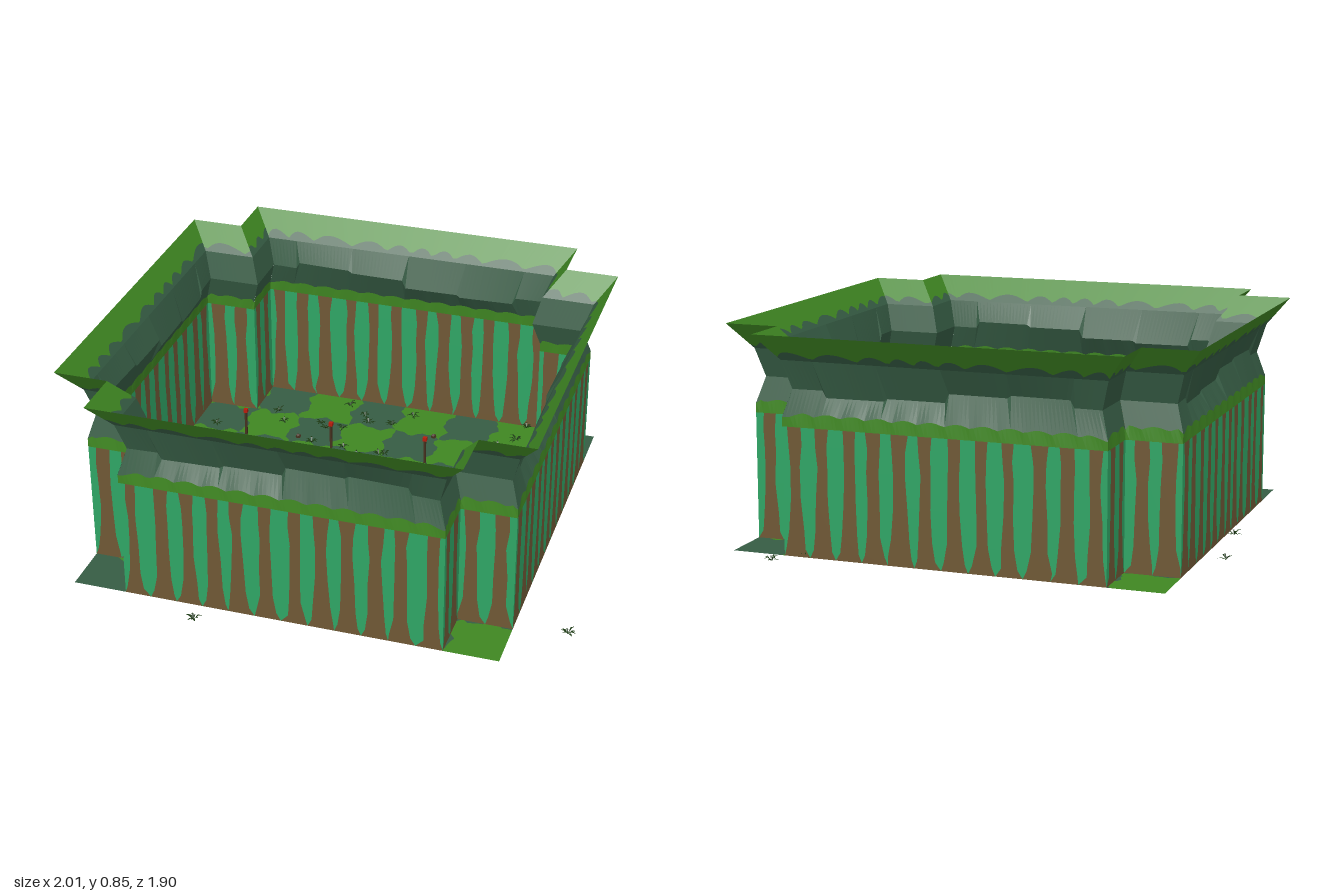
import * as THREE from 'three';
import { mergeGeometries } from 'three/addons/utils/BufferGeometryUtils.js';

const paint = (name, color) => Object.assign(
  new THREE.MeshStandardMaterial({ color, flatShading: true, side: THREE.DoubleSide }), { name });
const FLOOR = 0.02, CX = -0.06, CZ = -0.015;

function seeded(seed) {
  return () => ((seed = (seed * 16807) % 2147483647) / 2147483647);
}

// Collects triangles and quads for one mesh
class Sheet {
  constructor() { this.p = []; }
  tri(a, b, c) { this.p.push(...a, ...b, ...c); }
  quad(a, b, c, d) { this.tri(a, b, c); this.tri(a, c, d); }
  mesh(name, material) {
    const g = new THREE.BufferGeometry();
    g.setAttribute('position', new THREE.Float32BufferAttribute(this.p, 3));
    g.computeVertexNormals();
    const m = new THREE.Mesh(g, material);
    m.name = name;
    return m;
  }
}

// Square plan with notched corners
const PLAN = [
  [-0.68, -0.84], [0.56, -0.84], [0.56, -0.635], [0.77, -0.635], [0.77, 0.61], [0.56, 0.61],
  [0.56, 0.815], [-0.68, 0.815], [-0.68, 0.61], [-0.89, 0.61], [-0.89, -0.635], [-0.68, -0.635],
];
const PROFILE = [[0, 0], [0.54, 0], [0.64, -0.03], [0.75, 0], [0.85, 0.077]];

function lean(y) {
  for (let i = 1; i < PROFILE.length; i++) {
    const [y0, o0] = PROFILE[i - 1], [y1, o1] = PROFILE[i];
    if (y <= y1) return o0 + (o1 - o0) * (y - y0) / (y1 - y0);
  }
  return 0.077;
}

// Point on one wall panel; bow pushes it towards the middle of the arena
function wallPoint(a, b, t, y, offset = lean(y), bow = 0) {
  const out = ([x, z]) => [x + Math.sign(x - CX) * offset, z + Math.sign(z - CZ) * offset];
  const [ax, az] = out(a), [bx, bz] = out(b);
  const x = ax + (bx - ax) * t, z = az + (bz - az) * t;
  const alongX = Math.abs(bx - ax) > Math.abs(bz - az);
  return [x - (alongX ? 0 : Math.sign(x - CX) * bow), y, z - (alongX ? Math.sign(z - CZ) * bow : 0)];
}

function buildWalls(mat) {
  const walls = new THREE.Group();
  walls.name = 'walls';
  const bark = new Sheet(), gaps = new Sheet(), hedge = new Sheet(), ledge = new Sheet(), rim = new Sheet();
  const trunk = [[0.02, 0.5], [0.05, 0.36], [0.12, 0.27], [0.24, 0.22], [0.36, 0.2], [0.44, 0.22], [0.505, 0.25]];
  const rand = seeded(77);

  PLAN.forEach((a, e) => {
    const b = PLAN[(e + 1) % PLAN.length];
    const length = Math.hypot(b[0] - a[0], b[1] - a[1]);
    const long = length > 0.5;

    // Trunks with flared feet, alternating with green gaps
    const n = Math.round(length / 0.1);
    const edges = [];
    for (let i = 0; i < n; i++) {
      const shift = (rand() - 0.5) * 0.2, grow = 0.85 + rand() * 0.35;
      for (const side of [-1, 1]) {
        edges.push(trunk.map(([y, w]) => y === 0.02 ? (i + 0.5 + side * w) / n
          : (i + 0.5 + shift + side * w * grow + (rand() - 0.5) * 0.09) / n));
      }
    }
    const all = [trunk.map(() => 0), ...edges, trunk.map(() => 1)];
    for (let k = 0; k + 1 < all.length; k++) {
      for (let r = 0; r + 1 < trunk.length; r++) {
        const P = (c, row) => wallPoint(a, b, all[c][row], trunk[row][0]);
        (k % 2 ? bark : gaps).quad(P(k, r), P(k + 1, r), P(k + 1, r + 1), P(k, r + 1));
      }
    }

    // Ledge, folded hedge and overhanging rim with scalloped borders
    const cols = Math.round(length / 0.0155);
    const column = (i) => {
      const t = i / cols, s = t * length + e * 0.37;
      const fade = Math.sin(Math.PI * t);
      const low = 0.533 + (0.012 + 0.012 * Math.abs(Math.sin(s * 31))) * Math.min(1, fade * 4 + 0.3);
      const high = 0.757 + 0.026 * Math.abs(Math.sin(s * 26 + Math.sin(s * 9)));
      const fold = 0.64 + (long ? 0.028 * Math.sin(2 * Math.PI * Math.round(t * 5) / 5) : 0);
      const bow = long ? 0.018 * fade : 0;
      return {
        base: wallPoint(a, b, t, 0.505), low: wallPoint(a, b, t, low),
        fold: wallPoint(a, b, t, fold, -0.03, bow), neck: wallPoint(a, b, t, 0.75),
        high: wallPoint(a, b, t, high), top: wallPoint(a, b, t, 0.85),
      };
    };
    for (let i = 0; i < cols; i++) {
      const p = column(i), q = column(i + 1);
      const band = (sheet, from, to) => sheet.quad(p[from], q[from], q[to], p[to]);
      band(ledge, 'base', 'low');
      band(hedge, 'low', 'fold');
      band(hedge, 'fold', 'neck');
      band(hedge, 'neck', 'high');
      band(rim, 'high', 'top');
    }
  });
  walls.add(bark.mesh('trunks', mat.bark), gaps.mesh('trunkGaps', mat.leaf), ledge.mesh('grassLedge', mat.grass),
    hedge.mesh('hedge', mat.moss), rim.mesh('grassRim', mat.grass));
  return walls;
}

// Checkered floor with ragged borders between the squares
function buildFloor(mat) {
  const floor = new THREE.Group();
  floor.name = 'floor';
  const light = new Sheet(), dark = new Sheet();
  const n = 8, sub = 10, N = n * sub, x0 = -0.89, z0 = -0.84, w = 1.66 / N, d = 1.655 / N;
  const P = (i, j) => {
    const x = x0 + i * w, z = z0 + j * d;
    const fx = i % N ? 0.014 : 0, fz = j % N ? 0.014 : 0;
    return [x + fx * (Math.sin(z * 43 + i) + 0.5 * Math.sin(z * 97)), FLOOR,
      z + fz * (Math.sin(x * 41 + j * 2) + 0.5 * Math.sin(x * 89))];
  };
  // Only the square borders are ragged; inner points follow along smoothly
  const Q = (i, j) => {
    const i0 = Math.floor(i / sub) * sub, j0 = Math.floor(j / sub) * sub, u = (i - i0) / sub, v = (j - j0) / sub;
    const x = P(i0, j)[0] * (1 - u) + P(Math.min(i0 + sub, N), j)[0] * u;
    const z = P(i, j0)[2] * (1 - v) + P(i, Math.min(j0 + sub, N))[2] * v;
    return [x, FLOOR, z];
  };
  for (let i = 0; i < N; i++) for (let j = 0; j < N; j++) {
    const even = (Math.floor(i / sub) + Math.floor(j / sub)) % 2 === 0;
    (even ? light : dark).quad(Q(i, j), Q(i, j + 1), Q(i + 1, j + 1), Q(i + 1, j));
  }
  floor.add(light.mesh('grassSquares', mat.grass), dark.mesh('mossSquares', mat.moss));
  return floor;
}

// Star-shaped tufts of thin blades
function buildTufts(mat) {
  const spots = [
    [-0.3, -0.78], [-0.21, -0.71], [-0.18, -0.66], [-0.58, -0.64], [-0.53, -0.56], [-0.37, -0.59], [-0.34, -0.56],
    [-0.27, -0.58], [-0.08, -0.67], [-0.01, -0.77], [0.46, -0.71], [0.4, -0.63], [0.36, -0.53], [-0.8, -0.46],
    [-0.36, -0.43], [-0.22, -0.43], [-0.06, -0.42], [-0.04, -0.43], [-0.07, -0.35], [-0.15, -0.38], [-0.81, -0.28],
    [-0.77, -0.2], [-0.73, -0.17], [-0.69, -0.15], [-0.37, -0.26], [-0.27, -0.2], [-0.3, -0.13], [-0.2, -0.14],
    [-0.19, -0.07], [0.14, -0.22], [0.2, -0.18], [0.25, 0.06], [0.1, 0.09], [-0.62, 0.1], [-0.39, 0.01],
    [-0.25, 0.23], [-0.1, 0.23], [0.03, 0.28], [0.05, 0.35], [0.16, 0.32], [0.22, 0.37], [0.2, 0.43], [0.28, 0.48],
    [0.31, 0.54], [0.39, 0.46], [0.23, 0.56], [0.51, 0.38], [0.72, 0.51], [-0.62, 0.37], [-0.19, 0.55],
    [-0.18, 0.69], [-0.27, 0.73], [-0.09, 0.66], [-0.5, 0.66], [-0.4, 0.61], [0.18, 0.74], [0.31, 0.67],
    [0.62, -0.28], [0.57, -0.4], [0.69, -0.48], [-0.98, -0.34], [0.57, -0.93], [0.48, -0.82], [0.97, 0.58],
    [-0.37, 0.91], [-0.92, 0.02], [-0.08, 0.42],
  ];
  const sheet = new Sheet(), rand = seeded(5);
  for (const [x, z] of spots) {
    for (let k = 0; k < 9; k++) {
      const a = (k + rand() * 0.7) * Math.PI * 2 / 9, r = 0.018 + rand() * 0.018;
      const c = Math.cos(a), s = Math.sin(a), h = FLOOR + 0.008 + rand() * 0.014, m = r * 0.5;
      const l = [x + c * m - s * 0.004, h, z + s * m + c * 0.004], q = [x + c * m + s * 0.004, h, z + s * m - c * 0.004];
      sheet.tri([x, FLOOR + 0.002, z], l, q);
      sheet.tri(l, [x + c * r, h - 0.003, z + s * r], q);
    }
  }
  return sheet.mesh('grassTufts', mat.tuft);
}

// Tapered stick between two points
function stick(from, to, r0, r1) {
  const a = new THREE.Vector3(...from), b = new THREE.Vector3(...to), dir = b.clone().sub(a);
  const g = new THREE.CylinderGeometry(r1, r0, dir.length(), 5);
  g.applyQuaternion(new THREE.Quaternion().setFromUnitVectors(new THREE.Vector3(0, 1, 0), dir.normalize()));
  return g.translate(...a.add(b).multiplyScalar(0.5).toArray());
}

function buildProps(mat) {
  const props = new THREE.Group();
  props.name = 'props';
  const add = (name, list, material) => {
    const m = new THREE.Mesh(mergeGeometries(list), material);
    m.name = name;
    props.add(m);
  };
  // Campfire: leaning logs around glowing embers
  const logs = [], flames = [], rand = seeded(21), fx = -0.05;
  for (let k = 0; k < 22; k++) {
    const a = k * Math.PI * 2 / 22 + rand() * 0.15, r = 0.085 + rand() * 0.035, c = Math.cos(a), s = Math.sin(a);
    logs.push(stick([fx + c * r, 0.012, s * r], [fx + c * 0.015, 0.05 + rand() * 0.03, s * 0.015], 0.007, 0.006));
    if (k % 3 === 0) {
      flames.push(new THREE.ConeGeometry(0.017, 0.06, 5).translate(fx + c * 0.05, 0.045, s * 0.05));
    }
  }
  add('campfireLogs', logs, mat.wood);
  add('campfireFlames', flames, mat.flame);
  add('embers', [new THREE.CylinderGeometry(0.07, 0.07, 0.02, 12).translate(fx, 0.012, 0)], mat.ember);

  // Torch posts with red tips
  const posts = [], tips = [];
  for (const x of [-0.65, -0.27, 0.14, 0.57]) for (const z of [-0.42, 0.41]) {
    posts.push(new THREE.BoxGeometry(0.009, 0.11, 0.009).translate(x, 0.075, z));
    tips.push(new THREE.BoxGeometry(0.016, 0.016, 0.016).translate(x, 0.135, z));
  }
  add('torchPosts', posts, mat.wood);
  add('torchTips', tips, mat.ember);

  // Fallen branches
  const y = 0.028;
  add('branches', [
    stick([-0.38, y, 0.28], [-0.27, y, 0.24], 0.007, 0.005), stick([-0.32, y, 0.26], [-0.3, y, 0.21], 0.005, 0.003),
    stick([0.34, y, -0.29], [0.36, y, -0.41], 0.007, 0.005), stick([0.35, y, -0.34], [0.38, y, -0.38], 0.005, 0.003),
  ], mat.bark);

  // Pebbles
  const spots = [[0.12, -0.63], [-0.43, -0.46], [-0.83, 0], [-0.46, 0.04], [-0.65, 0.33], [-0.32, 0.5], [0.58, -0.03], [-0.24, -0.12]];
  add('pebbles', spots.map(([x, z]) => new THREE.DodecahedronGeometry(0.012).translate(x, FLOOR + 0.005, z)), mat.wood);
  return props;
}

export function createModel() {
  const mat = {
    grass: paint('grass green', 0x3f8722), moss: paint('moss green', 0x365c44), leaf: paint('leaf green', 0x2fa565),
    bark: paint('bark brown', 0x6f5835), tuft: paint('dark tuft green', 0x1c3a14), wood: paint('charred wood', 0x45301e),
    flame: paint('flame orange', 0xe0481a), ember: paint('ember red', 0xb81c0c),
  };
  const model = new THREE.Group();
  model.name = 'forestArena';
  model.add(buildFloor(mat), buildWalls(mat), buildTufts(mat), buildProps(mat));
  return model;
}
